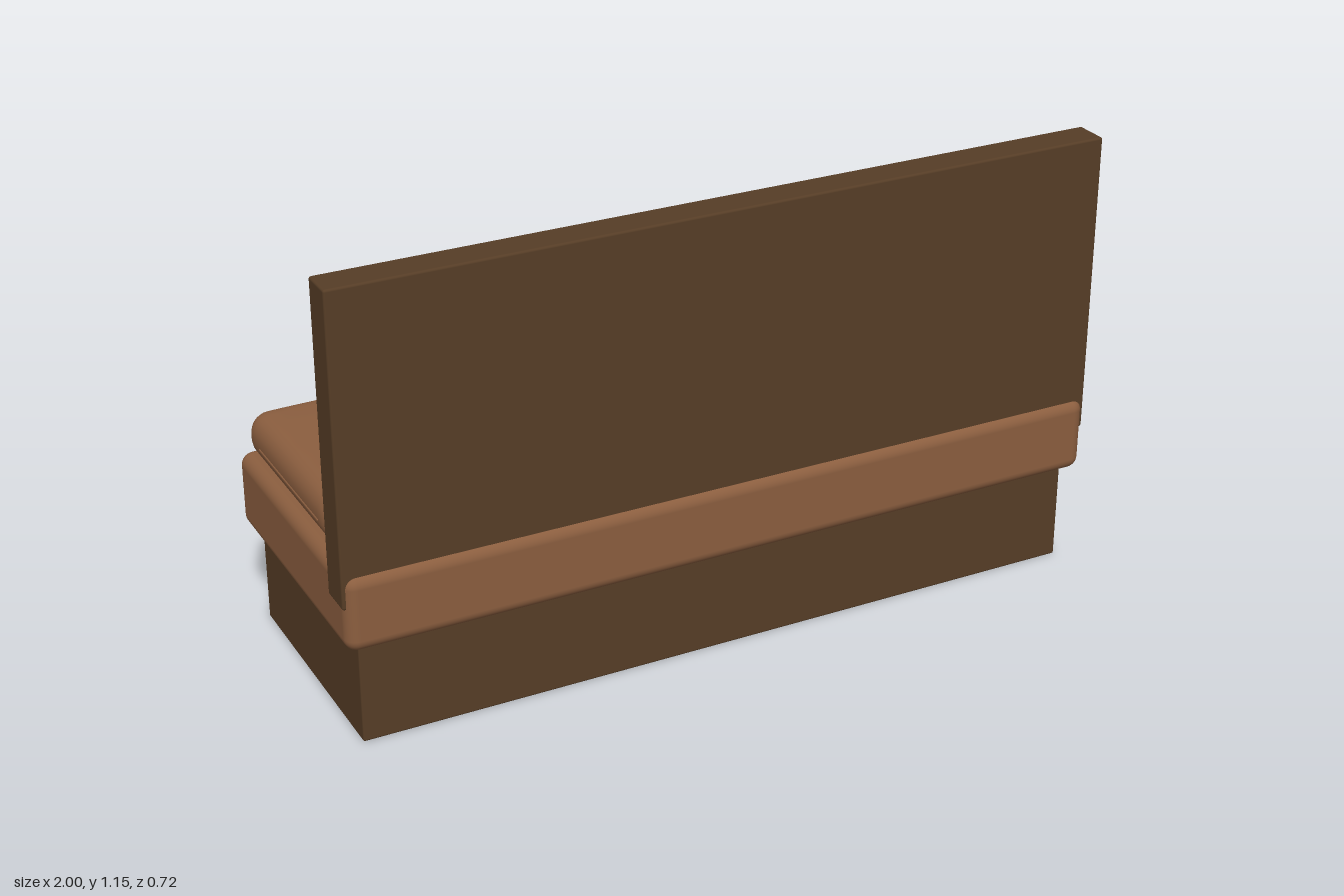
import * as THREE from 'three';
import { mergeVertices } from 'three/addons/utils/BufferGeometryUtils.js';
import { RoundedBoxGeometry } from 'three/addons/geometries/RoundedBoxGeometry.js';

// Upholstered block: a rounded box whose surface is reshaped by a rule
function padding(w, h, d, r, segs, shape) {
  let g = new THREE.BoxGeometry(w, h, d, ...segs);
  g.deleteAttribute('uv');
  g.deleteAttribute('normal');
  g = mergeVertices(g);
  const half = new THREE.Vector3(w / 2, h / 2, d / 2);
  const core = half.clone().subScalar(r);
  const p = new THREE.Vector3(), inner = new THREE.Vector3(), pos = g.attributes.position;
  // crowd the rows toward the edges so the rounding is smooth
  const crowd = (v, s) => Math.sin(v / s * Math.PI / 2) * s;
  for (let i = 0; i < pos.count; i++) {
    p.fromBufferAttribute(pos, i);
    p.set(crowd(p.x, half.x), crowd(p.y, half.y), crowd(p.z, half.z));
    inner.copy(p).clamp(core.clone().negate(), core);
    p.sub(inner).setLength(r).add(inner);
    shape(p);
    pos.setXYZ(i, p.x, p.y, p.z);
  }
  g.computeVertexNormals();
  return g;
}

export function createModel() {
  const group = new THREE.Group();
  const wood = new THREE.MeshStandardMaterial({ name: 'dark wood', color: 0x563d26 });
  const leather = new THREE.MeshStandardMaterial({ name: 'tan leather', color: 0x8b5e3f });

  const add = (name, geometry, material, x, y, z) => {
    const mesh = new THREE.Mesh(geometry, material);
    mesh.name = name;
    mesh.position.set(x, y, z);
    group.add(mesh);
    return mesh;
  };

  // Plinth, padded seat base and back board
  add('plinth', new RoundedBoxGeometry(1.92, 0.27, 0.64, 2, 0.005), wood, 0, 0.135, 0);
  add('seatBase', new RoundedBoxGeometry(1.994, 0.196, 0.718, 5, 0.032), leather, 0, 0.357, 0);
  add('backBoard', new RoundedBoxGeometry(2, 0.78, 0.09, 2, 0.006), wood, 0, 0.762, 0.3);

  // Two crowned seat cushions with a side seam
  const cw = 0.97, cd = 0.55, ch = 0.114;
  [-0.493, 0.488].forEach((x, n) => {
    const geo = padding(cw, ch, cd, 0.05, [40, 14, 32], p => {
      if (p.y < 0) return;
      const crown = (1 - (2 * p.x / cw) ** 2) * (1 - (2 * p.z / cd) ** 2);
      const creases = Math.sin(p.x * 31 + p.z * 17 + n) * Math.sin(p.z * 29 - p.x * 9);
      p.y += (0.012 * Math.sqrt(Math.max(crown, 0)) + 0.0015 * creases * crown) * p.y / (ch / 2);
    });
    add('seatCushion', geo, leather, x, 0.512, -0.065);
    for (const s of [-1, 1]) {
      const side = new THREE.CapsuleGeometry(0.003, 0.39, 3, 6).rotateX(Math.PI / 2);
      add('cushionSideSeam', side, leather, x + s * cw / 2, 0.505, -0.045);
    }
    const front = new THREE.CapsuleGeometry(0.003, 0.82, 3, 6).rotateZ(Math.PI / 2);
    add('cushionFrontSeam', front, leather, x, 0.505, -0.065 - cd / 2);
  });

  // Twelve vertical padded channels along the backrest
  const count = 12, pitch = 1.974 / count, bh = 0.695, bd = 0.095;
  for (let i = 0; i < count; i++) {
    const geo = padding(pitch - 0.002, bh, bd, 0.04, [14, 32, 10], p => {
      if (p.z > 0) return;
      const across = 1 - (2 * p.x / pitch) ** 2;
      const along = Math.max(1 - (2 * p.y / bh) ** 2, 0);
      const creases = Math.sin(p.y * 37 + p.x * 30 + i * 1.7);
      p.z -= across * (0.012 * Math.sqrt(along) + 0.0018 * creases * along);
    });
    add('backChannel', geo, leather, -0.987 + pitch * (i + 0.5), 0.789, 0.25);
  }
  return group;
}
